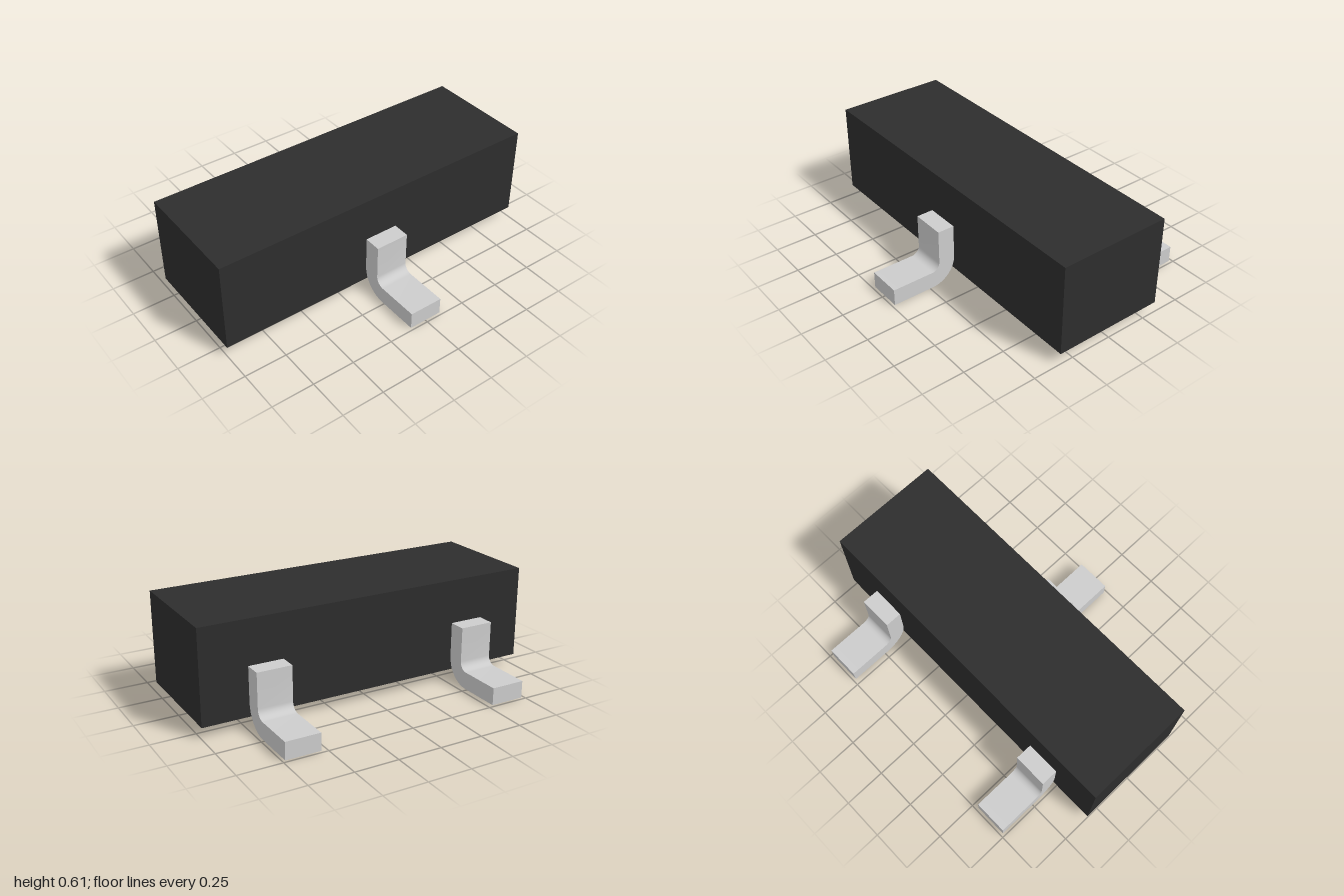
import * as THREE from 'three';
import { toCreasedNormals } from 'three/addons/utils/BufferGeometryUtils.js';

const LEAD_WIDTH = 0.2;
const HALF_DEPTH = 0.333;

// Bent lead: L-shaped side profile (outward, up) extruded across its width
function leadGeometry() {
  const thick = 0.1, inner = 0.05, outer = inner + thick;
  const top = 0.35, tip = 0.733;
  const bend = HALF_DEPTH + outer;
  const s = new THREE.Shape();
  s.moveTo(HALF_DEPTH, top);
  s.lineTo(HALF_DEPTH, outer);
  s.absarc(bend, outer, outer, Math.PI, Math.PI * 1.5, false);
  s.lineTo(tip, 0);
  s.lineTo(tip, thick);
  s.lineTo(bend, thick);
  s.absarc(bend, outer, inner, Math.PI * 1.5, Math.PI, true);
  s.lineTo(HALF_DEPTH + thick, top);
  s.closePath();
  const geo = new THREE.ExtrudeGeometry(s, { depth: LEAD_WIDTH, bevelEnabled: false, curveSegments: 4 });
  geo.translate(0, 0, -LEAD_WIDTH / 2);
  geo.rotateY(-Math.PI / 2);
  return toCreasedNormals(geo, Math.PI / 6);
}

export function createModel() {
  const model = new THREE.Group();
  model.name = 'surfaceMountPackage';

  const plastic = new THREE.MeshStandardMaterial({ color: 0x2d2d2d });
  plastic.name = 'blackPlastic';
  const metal = new THREE.MeshStandardMaterial({ color: 0xcccccc });
  metal.name = 'silverMetal';

  // Moulded body
  const bottom = 0.067, top = 0.605;
  const body = new THREE.Mesh(new THREE.BoxGeometry(2, top - bottom, HALF_DEPTH * 2), plastic);
  body.name = 'body';
  body.position.y = (top + bottom) / 2;
  model.add(body);

  // One lead in front, two behind
  const geo = leadGeometry();
  const leads = [
    ['frontLead', 0, 0],
    ['backLeftLead', 0.633, Math.PI],
    ['backRightLead', -0.633, Math.PI],
  ];
  for (const [name, x, turn] of leads) {
    const lead = new THREE.Mesh(geo, metal);
    lead.name = name;
    lead.position.x = x;
    lead.rotation.y = turn;
    model.add(lead);
  }
  return model;
}
